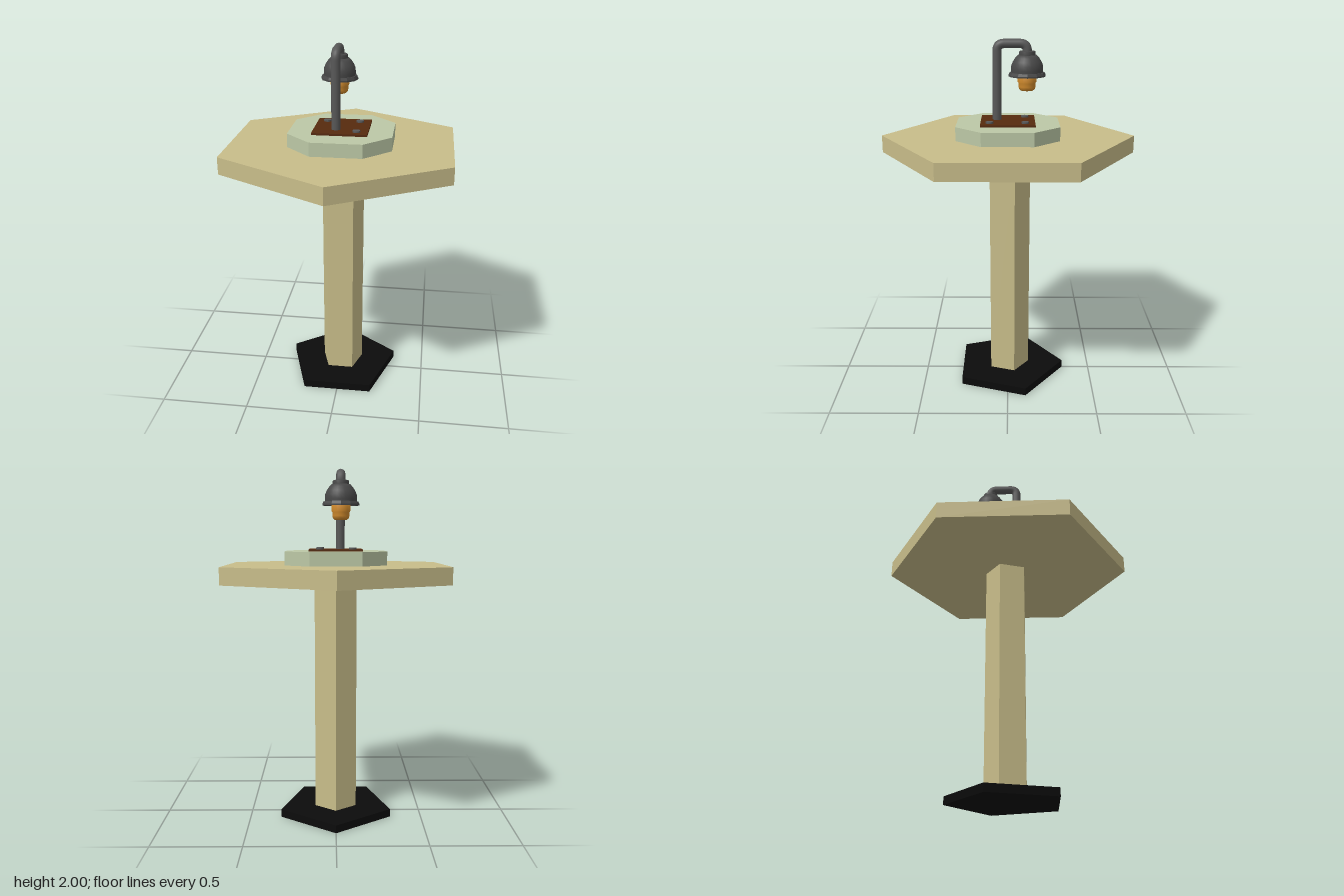
import * as THREE from 'three';

const mat = (color, extra = {}) => new THREE.MeshStandardMaterial({ color, ...extra });

export function createModel() {
  const model = new THREE.Group();
  const wood = mat(0xc8bd8a, { flatShading: true });
  const metal = mat(0x585858);

  const add = (name, geometry, material, x = 0, y = 0, z = 0) => {
    const mesh = new THREE.Mesh(geometry, material);
    mesh.name = name;
    mesh.position.set(x, y, z);
    model.add(mesh);
    return mesh;
  };

  // Upright prism between two heights, with a corner pointing along +z unless turned
  const prism = (name, radius, sides, y0, y1, material, turn = 0) => {
    const geometry = new THREE.CylinderGeometry(radius, radius, y1 - y0, sides);
    add(name, geometry, material, 0, (y0 + y1) / 2).rotation.y = turn;
  };

  // Pentagonal foot and column, hexagonal table top
  prism('foot', 0.336, 5, 0, 0.045, mat(0x0b0b0b, { flatShading: true }), Math.PI);
  prism('column', 0.126, 5, 0.045, 1.38, wood, Math.PI);
  prism('tableTop', 0.706, 6, 1.38, 1.475, wood);

  // Square plinth with cut corners
  const a = 0.283, b = 0.14;
  const outline = [[a, -b], [a, b], [b, a], [-b, a], [-a, b], [-a, -b], [-b, -a], [b, -a]];
  const plinth = new THREE.ExtrudeGeometry(
    new THREE.Shape(outline.map(([x, y]) => new THREE.Vector2(x, y))),
    { depth: 0.076, bevelEnabled: false });
  plinth.rotateX(-Math.PI / 2);
  add('plinth', plinth, mat(0xbcc8a6, { flatShading: true }), 0, 1.475, 0);

  // Mounting plate with bolts
  add('mountingPlate', new THREE.BoxGeometry(0.3, 0.011, 0.3), mat(0x562a0e), 0, 1.5565, 0);
  for (const [x, z] of [[0.088, 0.1], [0.088, -0.095], [-0.095, -0.095]]) {
    add('bolt', new THREE.CylinderGeometry(0.021, 0.021, 0.012, 12), metal, x, 1.565, z);
  }

  // Bent lamp pole
  const px = -0.028, poleZ = 0.06, lampZ = -0.105, topY = 1.975, bend = 0.04;
  const p = (y, z) => new THREE.Vector3(px, y, z);
  const path = new THREE.CurvePath();
  path.add(new THREE.LineCurve3(p(1.555, poleZ), p(topY - bend, poleZ)));
  path.add(new THREE.QuadraticBezierCurve3(p(topY - bend, poleZ), p(topY, poleZ), p(topY, poleZ - bend)));
  path.add(new THREE.LineCurve3(p(topY, poleZ - bend), p(topY, lampZ + bend)));
  path.add(new THREE.QuadraticBezierCurve3(p(topY, lampZ + bend), p(topY, lampZ), p(topY - bend, lampZ)));
  path.add(new THREE.LineCurve3(p(topY - bend, lampZ), p(1.915, lampZ)));
  add('lampPole', new THREE.TubeGeometry(path, 90, 0.025, 12), metal);

  // Turned lamp parts, profiles as [radius, height] from bottom to top
  const turned = (name, profile, sides, material) => add(name, new THREE.LatheGeometry(
    profile.map(([r, y]) => new THREE.Vector2(r, y)), sides), material, px, 0, lampZ);
  const shadeMetal = mat(0x484848, { side: THREE.DoubleSide });

  turned('lampBrim', [[0.082, 1.802], [0.102, 1.8], [0.102, 1.808], [0.096, 1.822], [0.086, 1.822]], 12,
    mat(0x484848, { flatShading: true, side: THREE.DoubleSide }));
  turned('lampShade', [[0.086, 1.802], [0.088, 1.835], [0.087, 1.858], [0.078, 1.88],
    [0.065, 1.9], [0.052, 1.914], [0, 1.916]], 24, shadeMetal);
  turned('lampCollar', [[0.045, 1.91], [0.045, 1.932], [0.041, 1.936], [0, 1.936]], 16, shadeMetal);

  // Amber bulb
  turned('bulb', [[0, 1.721], [0.034, 1.723], [0.044, 1.732], [0.047, 1.745], [0.047, 1.764],
    [0.052, 1.77], [0.052, 1.83], [0, 1.84]], 16, mat(0xd08a2c));

  return model;
}
